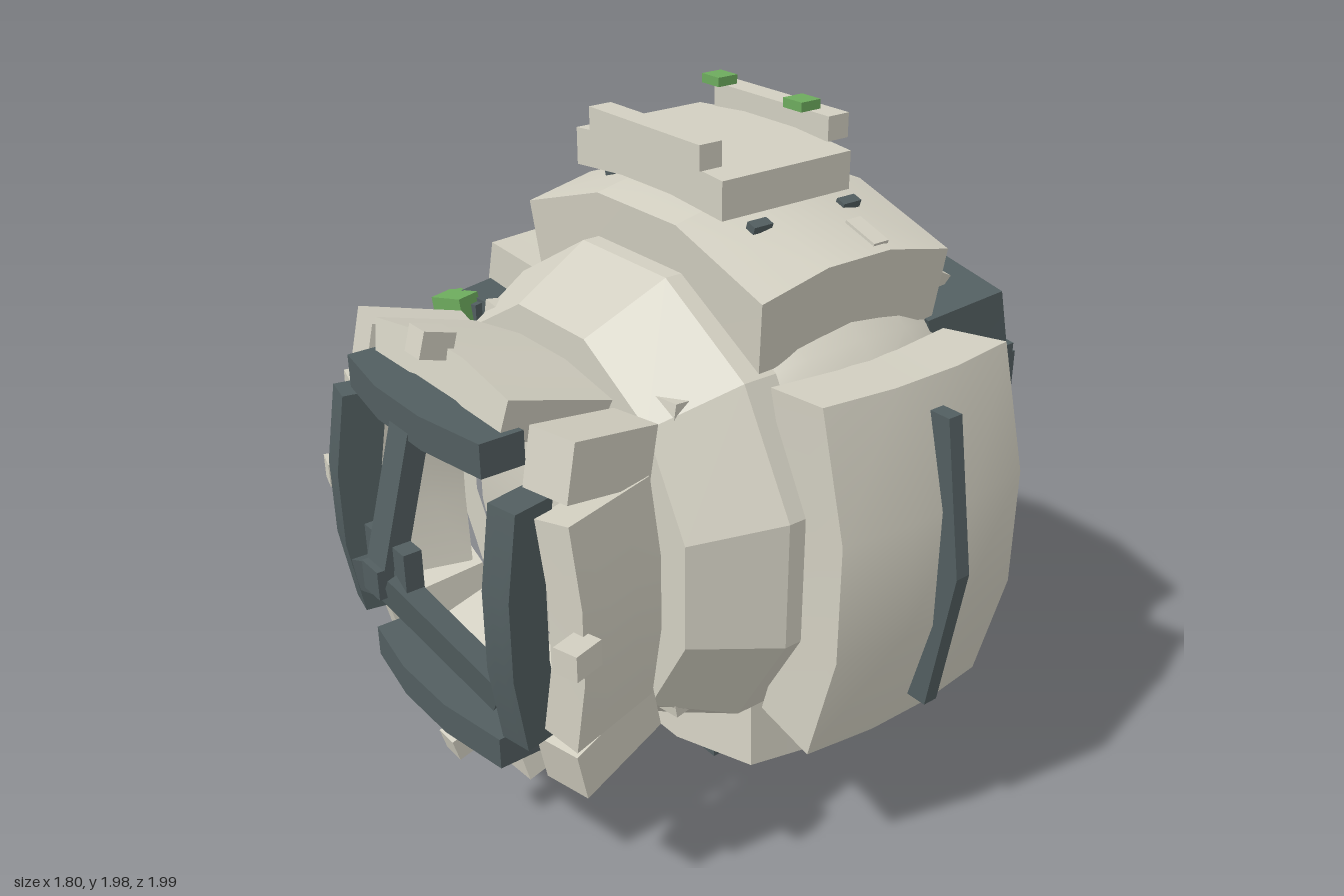
import * as THREE from 'three';
import { toCreasedNormals } from 'three/addons/utils/BufferGeometryUtils.js';

const CY = 0.93, CZ = -0.155, Q = Math.PI / 2;

export function createModel() {
  const root = new THREE.Group();
  root.name = 'sphericalPod';
  const material = (name, color) => {
    const m = new THREE.MeshStandardMaterial({ color });
    m.name = name;
    return m;
  };
  const light = material('warm grey hull', 0xd2cfc1);
  const dark = material('dark slate', 0x525e60);
  const green = material('green', 0x6dab5d);
  const deepGreen = material('deep green', 0x4a7340);

  // Place a mesh; rotation order YXZ so a part can be turned and then tilted.
  function put(parent, name, mat, geo, pos, rot = [0, 0, 0]) {
    const m = new THREE.Mesh(geo, mat);
    m.name = name;
    m.position.set(...pos);
    m.rotation.set(rot[0], rot[1], rot[2], 'YXZ');
    parent.add(m);
    return m;
  }
  const box = (w, h, d) => new THREE.BoxGeometry(w, h, d);

  // Bowed slab: outer face at local z = 0, edges sag inwards, inner face slightly smaller.
  function slab(w, h, d, sagX = 0, sagY = 0, seg = 3, taper = 0.95) {
    const g = new THREE.BoxGeometry(w, h, d, seg, seg, 1);
    const p = g.attributes.position;
    for (let i = 0; i < p.count; i++) {
      const x = p.getX(i), y = p.getY(i), z = p.getZ(i);
      const u = Math.abs(x * 2 / w), v = Math.abs(y * 2 / h);
      const power = seg === 2 ? 1 : 2;
      const k = z < 0 ? taper : 1;
      p.setXYZ(i, x * k, y * k, z - d / 2 - sagX * u ** power - sagY * v ** power);
    }
    return toCreasedNormals(g, 0.3);
  }

  // Four copies round the front-to-back axis: top, left, bottom, right.
  function around(name, mat, geo, r, z, tilt) {
    for (let i = 0; i < 4; i++) {
      const pivot = new THREE.Group();
      pivot.name = name + 'Mount';
      pivot.position.y = CY;
      pivot.rotation.z = i * Q;
      root.add(pivot);
      put(pivot, name, mat, geo, [0, r, z], [-Q + tilt, 0, 0]);
    }
  }

  // Round core, flattened on its six faces
  const core = new THREE.BoxGeometry(1, 1, 1, 6, 6, 6);
  const cp = core.attributes.position, vec = new THREE.Vector3();
  for (let i = 0; i < cp.count; i++) {
    vec.fromBufferAttribute(cp, i).normalize().multiplyScalar(0.735);
    vec.clampScalar(-0.64, 0.64);
    vec.z = THREE.MathUtils.clamp(vec.z, -0.56, 0.56);
    cp.setXYZ(i, vec.x, vec.y, vec.z);
  }
  put(root, 'core', light, toCreasedNormals(core, 0.5), [0, CY, CZ]);

  // Outer hull plates
  put(root, 'topPlate', light, slab(1, 0.63, 0.2, 0.12, 0.05), [0, 1.785, CZ], [-Q, 0, 0]);
  put(root, 'bottomPlate', light, slab(1, 0.63, 0.2, 0.12, 0.05), [0, 0.085, CZ], [Q, 0, 0]);
  for (const s of [-1, 1])
    put(root, 'sidePlate', light, slab(0.63, 1, 0.2, 0.03, 0.1), [s * 0.85, CY, CZ], [0, s * Q, 0]);
  put(root, 'frontPlate', light, slab(0.86, 0.92, 0.2, 0.05, 0.06), [0, CY, 0.472]);
  put(root, 'backPlate', dark, slab(1.06, 1.06, 0.24, 0.12, 0.1, 3, 0.93), [0, CY, -0.885], [0, Math.PI, 0]);

  // Twelve-sided sloping ring around the front, with its flats on the axes
  const ring = new THREE.LatheGeometry(
    [[0.45, 0.1], [0.69, 0.1], [0.69, 0.2], [0.57, 0.43], [0.45, 0.43]].map(p => new THREE.Vector2(...p)),
    12, Math.PI / 12);
  ring.rotateX(Q);
  put(root, 'frontEdgeRing', light, toCreasedNormals(ring, 0.3), [0, CY, 0]);

  // Sloping plates between the back plate and the other faces
  around('backEdgePlate', light, slab(0.76, 0.18, 0.14, 0.035, 0, 3, 0.9), 0.61, -0.56, -0.45);

  // Flared front collar
  around('collarPanel', light, slab(0.63, 0.3, 0.11, 0.035, 0, 3, 0.94), 0.535, 0.6, -0.28);
  around('collarLug', light, box(0.07, 0.09, 0.07), 0.585, 0.77, -0.28);
  for (const sx of [-1, 1]) for (const sy of [-1, 1])
    put(root, 'collarCorner', light, box(0.14, 0.15, 0.29),
      [sx * 0.415, CY + sy * 0.395, 0.6], [-sy * 0.22, sx * 0.22, 0]);

  // Dark window frame
  for (const s of [-1, 1]) {
    put(root, 'windowBar', dark, slab(0.64, 0.09, 0.12, 0.04, 0, 3, 1), [0, CY + s * 0.415, 0.88]);
    put(root, 'windowPost', dark, slab(0.09, 0.66, 0.12, 0, 0.04, 3, 1), [s * 0.41, CY, 0.88], [0, s * 0.2, 0]);
  }

  // Three sloping spokes and hub
  for (let i = 0; i < 3; i++) {
    const pivot = new THREE.Group();
    pivot.name = 'spokeMount';
    pivot.position.set(0, CY, 0);
    pivot.rotation.z = i * Math.PI * 2 / 3;
    root.add(pivot);
    put(pivot, 'spoke', dark, box(0.09, 0.4, 0.06), [0, 0.225, 0.89], [-0.27, 0, 0]);
  }
  put(root, 'hubBase', dark, box(0.2, 0.13, 0.05), [0, 0.965, 0.92]);
  put(root, 'hub', dark, box(0.08, 0.08, 0.09), [0, 0.93, 0.945]);

  // Rear hatch: bent plate, raised frame and handle
  put(root, 'hatchPlate', light, slab(0.77, 0.44, 0.05, 0.075, 0, 2, 1), [0, CY, -0.95], [0, Math.PI, 0]);
  for (const s of [-1, 1]) {
    put(root, 'hatchRail', dark, slab(0.78, 0.045, 0.08, 0.075, 0, 2, 1), [0, CY + s * 0.245, -0.985], [0, Math.PI, 0]);
    put(root, 'hatchStile', dark, box(0.045, 0.47, 0.06), [s * 0.36, CY, -0.9]);
  }
  put(root, 'hatchHandle', light, box(0.14, 0.14, 0.06), [0, CY, -0.97]);

  // Roof cap with two bars, lamps and small clips
  put(root, 'roofCap', light, slab(0.61, 0.42, 0.1, 0.02, 0, 3, 1), [0, 1.88, -0.085], [-Q, 0, 0]);
  for (const z of [0.1, -0.32])
    put(root, 'roofBar', light, box(0.46, 0.065, 0.07), [0, 1.9, z]);
  for (const s of [-1, 1]) {
    put(root, 'roofLamp', green, box(0.07, 0.025, 0.065), [s * 0.165, 1.96, -0.25]);
    put(root, 'roofClip', light, box(0.11, 0.025, 0.05), [s * 0.42, 1.68, -0.25], [0, 0, -s * 0.32]);
    for (const z of [0, -0.3])
      put(root, 'roofHinge', dark, box(0.03, 0.02, 0.06), [s * 0.3, 1.722, z], [0, 0, -s * 0.32]);
  }

  // Underside plate, feet and dark dimples
  put(root, 'bellyPlate', dark, box(0.4, 0.06, 0.29), [0, 0.07, -0.1]);
  const dimple = new THREE.CylinderGeometry(0.045, 0.045, 0.008, 8);
  for (const s of [-1, 1]) {
    put(root, 'foot', light, box(0.17, 0.1, 0.13), [s * 0.2, 0.07, -0.37], [0.2, 0, s * 0.15]);
    for (const z of [0.01, -0.27])
      put(root, 'dimple', dark, dimple, [s * 0.36, 0.17, z], [0, 0, s * 0.31]);
    put(root, 'backDimple', dark, dimple, [s * 0.17, 0.322, -0.56], [0.45, 0, 0]);
    put(root, 'frontDimple', dark, dimple, [s * 0.1, 0.32, 0.315], [-0.48, 0, 0]);
  }

  // Bent dark strip on each side, the right one set deeper
  for (const [s, x] of [[1, 0.9], [-1, 0.87]])
    put(root, 'sideStrip', dark, slab(0.045, 0.84, 0.07, 0, 0.07, 2, 1), [s * x, CY, -0.175], [0, s * Q, 0]);

  // Grips and blocks on the right side
  for (const s of [-1, 1]) {
    put(root, 'sideGrip', light, box(0.06, 0.13, 0.11), [-0.78, CY + s * 0.43, -0.32], [0, 0, -s * 0.35]);
    put(root, 'sideBlock', light, box(0.06, 0.07, 0.07), [-0.83, CY + s * 0.17, -0.32]);
  }

  // Tilted key panel with nine keys
  const pad = new THREE.Group();
  pad.name = 'keyPanel';
  pad.position.set(-0.805, 1.115, 0.1);
  pad.rotation.set(-0.16, -Q + 0.27, 0, 'YXZ');
  root.add(pad);
  put(pad, 'panelBack', dark, box(0.4, 0.42, 0.1), [0.0, -0.01, -0.062]);
  put(pad, 'panelFace', deepGreen, box(0.29, 0.32, 0.04), [0, 0, 0.005]);
  for (const s of [-1, 1]) {
    put(pad, 'panelRim', green, box(0.3, 0.012, 0.042), [0, s * 0.16, 0.005]);
    put(pad, 'panelRim', green, box(0.012, 0.33, 0.042), [s * 0.15, 0, 0.005]);
  }
  for (let i = 0; i < 3; i++) for (let j = 0; j < 3; j++)
    put(pad, 'key', light, box(0.035, 0.035, 0.035), [(i - 1) * 0.075, (j - 1) * 0.075 - 0.02, 0.04]);

  // Green sensor beside the key panel
  put(root, 'sensor', green, box(0.11, 0.09, 0.08), [-0.69, 1.265, 0.31], [0, 0.3, 0.15]);
  put(root, 'sensorTip', green, box(0.05, 0.04, 0.05), [-0.75, 1.27, 0.27]);
  put(root, 'sensorArm', dark, box(0.08, 0.1, 0.12), [-0.68, 1.24, 0.24], [0, 0.3, 0]);

  return root;
}
